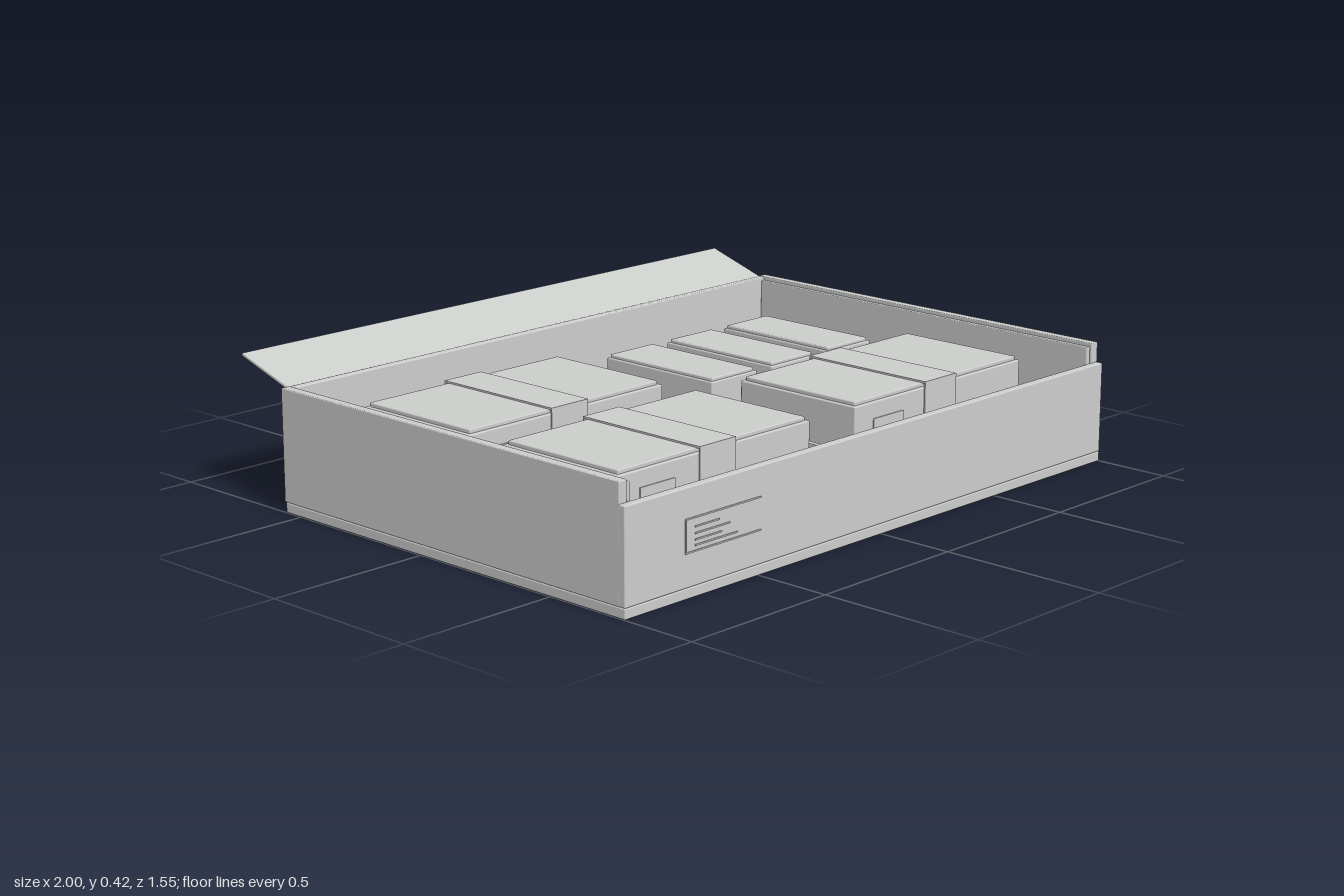
import * as THREE from 'three';
import { RoundedBoxGeometry } from 'three/addons/geometries/RoundedBoxGeometry.js';

export function createModel() {
  const model = new THREE.Group();
  model.name = 'packagingCrate';
  const grey = new THREE.MeshStandardMaterial({ color: 0xcccecc });
  grey.name = 'lightGrey';

  // Box given by its limits; a radius gives softened edges
  function block(name, x0, x1, y0, y1, z0, z1, radius = 0, parent = model) {
    const w = x1 - x0, h = y1 - y0, d = z1 - z0;
    const geometry = radius
      ? new RoundedBoxGeometry(w, h, d, 2, radius)
      : new THREE.BoxGeometry(w, h, d);
    const mesh = new THREE.Mesh(geometry, grey);
    mesh.name = name;
    mesh.position.set((x0 + x1) / 2, (y0 + y1) / 2, (z0 + z1) / 2);
    parent.add(mesh);
    return mesh;
  }

  // Outer crate: base, tall sides and back, lower front
  block('base', -1, 1, 0, 0.03, -0.565, 0.77, 0.004);
  block('frontWall', -1, 1, 0.03, 0.3, 0.745, 0.77, 0.004);
  block('backWall', -0.97, 0.97, 0.03, 0.36, -0.57, -0.545, 0.004);
  for (const side of [-1, 1]) {
    const wall = (name, a, b, top, z0, z1) =>
      block(name, Math.min(side * a, side * b), Math.max(side * a, side * b), 0.03, top, z0, z1, 0.003);
    wall('sideWall', 0.97, 1, 0.36, -0.57, 0.75);
    wall('sideLining', 0.953, 0.97, 0.35, -0.545, 0.745);
  }

  // Open lid flap hinged on the back wall
  const rise = 0.066, run = 0.207;
  const flap = block('lidFlap', -0.975, 0.975, 0, 0.01, 0, Math.hypot(rise, run), 0.003);
  flap.position.set(0, 0.384, -0.668);
  flap.rotation.x = Math.atan2(rise, run);

  // Two divided inner trays
  for (const [x0, x1] of [[-0.91, -0.025], [0.015, 0.905]]) {
    const tray = new THREE.Group();
    tray.name = 'innerTray';
    model.add(tray);
    const z0 = -0.485, z1 = 0.68, t = 0.018, top = 0.2;
    block('trayFloor', x0, x1, 0.03, 0.05, z0, z1, 0, tray);
    block('trayEnd', x0, x0 + t, 0.05, top, z0, z1, 0, tray);
    block('trayEnd', x1 - t, x1, 0.05, top, z0, z1, 0, tray);
    block('traySide', x0 + t, x1 - t, 0.05, top, z0, z0 + t, 0, tray);
    block('traySide', x0 + t, x1 - t, 0.05, top, z1 - t, z1, 0, tray);
    block('trayDivider', x0 + t, x1 - t, 0.05, top, 0.087, 0.103, 0, tray);
  }

  // Large cartons with a slightly smaller lid, sealing tape and a side label
  function carton(x0, z0) {
    const group = new THREE.Group();
    group.name = 'largeCarton';
    model.add(group);
    const x1 = x0 + 0.745, z1 = z0 + 0.43, mid = (x0 + x1) / 2;
    block('cartonBody', x0, x1, 0.05, 0.308, z0, z1, 0.004, group);
    block('cartonLid', x0 + 0.01, x1 - 0.01, 0.3, 0.32, z0 + 0.01, z1 - 0.01, 0.004, group);
    block('tapeTop', mid - 0.07, mid + 0.07, 0.319, 0.325, z0 - 0.004, z1 + 0.004, 0, group);
    for (const z of [z0 - 0.004, z1]) {
      block('tapeEnd', mid - 0.07, mid + 0.07, 0.05, 0.32, z, z + 0.004, 0, group);
    }
    block('cartonLabel', x0 + 0.08, x0 + 0.21, 0.21, 0.26, z1, z1 + 0.003, 0, group);
  }
  carton(-0.843, -0.4);
  carton(-0.843, 0.16);
  carton(0.09, 0.16);

  // Three small cartons in the back compartment
  for (const x of [0.108, 0.367, 0.622]) {
    block('smallCartonBody', x, x + 0.195, 0.05, 0.275, -0.4, 0.03, 0.004);
    block('smallCartonLid', x + 0.007, x + 0.188, 0.27, 0.285, -0.393, 0.023, 0.004);
  }

  // Thin raised marking bars on the front wall: length, height
  [[0.285, 0.215], [0.09, 0.19], [0.13, 0.172], [0.1, 0.155], [0.16, 0.14], [0.285, 0.125]]
    .forEach(([length, y]) => {
      const x = length > 0.2 ? -0.78 : -0.745;
      block('markingBar', x, x + length, y - 0.002, y + 0.002, 0.769, 0.773);
    });
  block('markingBar', -0.782, -0.778, 0.123, 0.217, 0.769, 0.773);

  return model;
}
